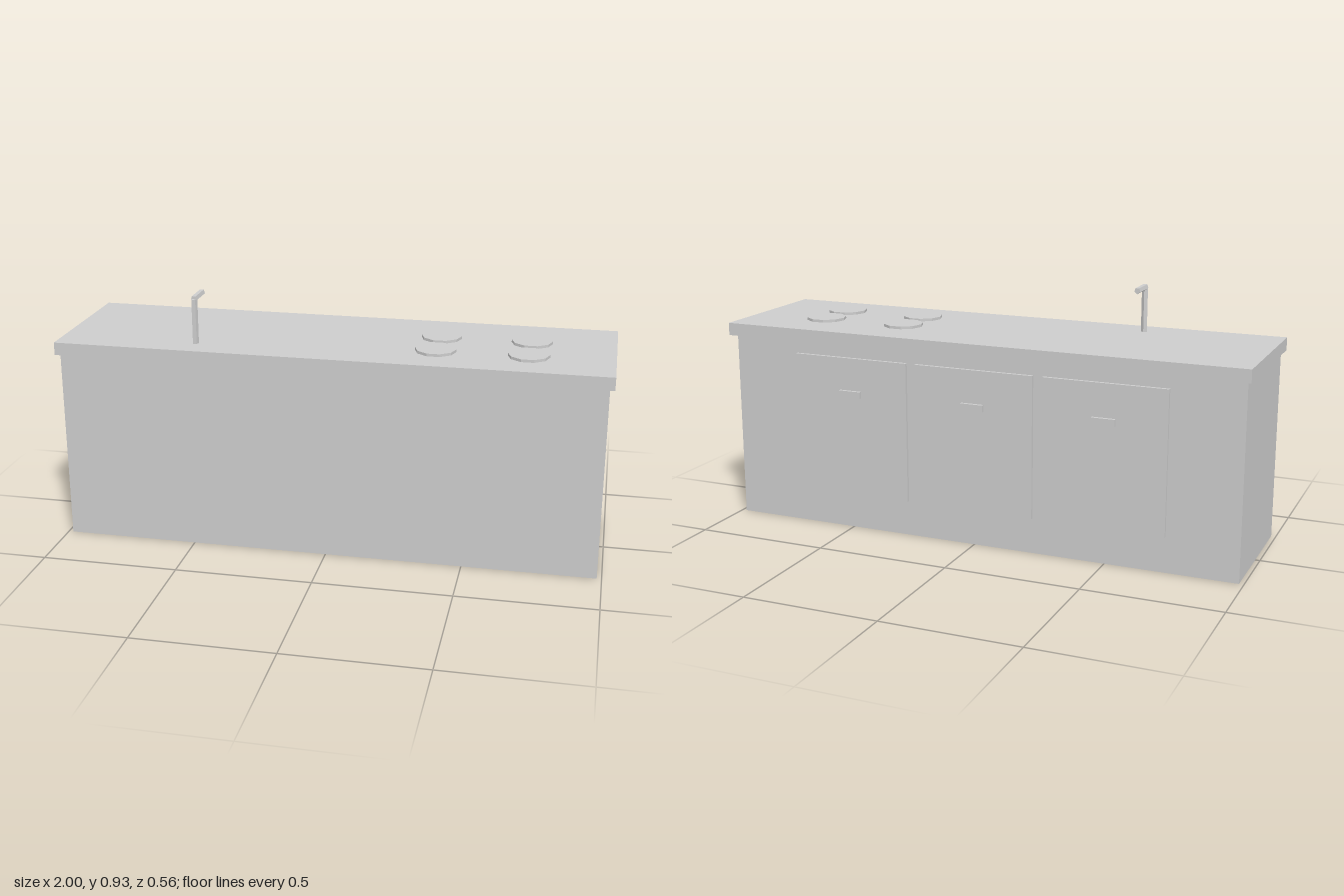
import * as THREE from 'three';

export function createModel() {
  const model = new THREE.Group();
  model.name = 'kitchenIsland';
  const grey = new THREE.MeshStandardMaterial({ color: 0xcccccc, flatShading: true });
  grey.name = 'light grey';

  function add(name, geometry) {
    const mesh = new THREE.Mesh(geometry, grey);
    mesh.name = name;
    model.add(mesh);
    return mesh;
  }

  // Box given by its min and max corners
  function box(name, [x0, y0, z0], [x1, y1, z1]) {
    add(name, new THREE.BoxGeometry(x1 - x0, y1 - y0, z1 - z0))
      .position.set((x0 + x1) / 2, (y0 + y1) / 2, (z0 + z1) / 2);
  }

  // Cabinet body and overhanging worktop
  box('cabinet', [-0.983, 0, -0.245], [0.983, 0.708, 0.267]);
  box('worktop', [-1, 0.708, -0.277], [1, 0.755, 0.279]);

  // Three doors with handles on the back
  for (const x of [-0.493, 0, 0.493]) {
    box('door', [x - 0.228, 0.132, -0.257], [x + 0.228, 0.657, -0.245]);
    box('handle', [x - 0.043, 0.51, -0.269], [x + 0.043, 0.535, -0.257]);
  }

  // Four ten-sided hob plates
  for (const x of [0.368, 0.697]) {
    for (const z of [-0.064, 0.101]) {
      add('hobPlate', new THREE.CylinderGeometry(0.074, 0.074, 0.01, 10).rotateY(Math.PI / 2))
        .position.set(x, 0.76, z);
    }
  }

  // Five-sided tap: upright pipe and spout reaching inward
  const pipe = (length) => new THREE.CylinderGeometry(0.012, 0.012, length, 5).rotateY(Math.PI);
  add('tapPipe', pipe(0.164)).position.set(-0.495, 0.837, 0.182);
  add('tapSpout', pipe(0.098).rotateX(-Math.PI / 2)).position.set(-0.495, 0.92, 0.134);

  return model;
}
